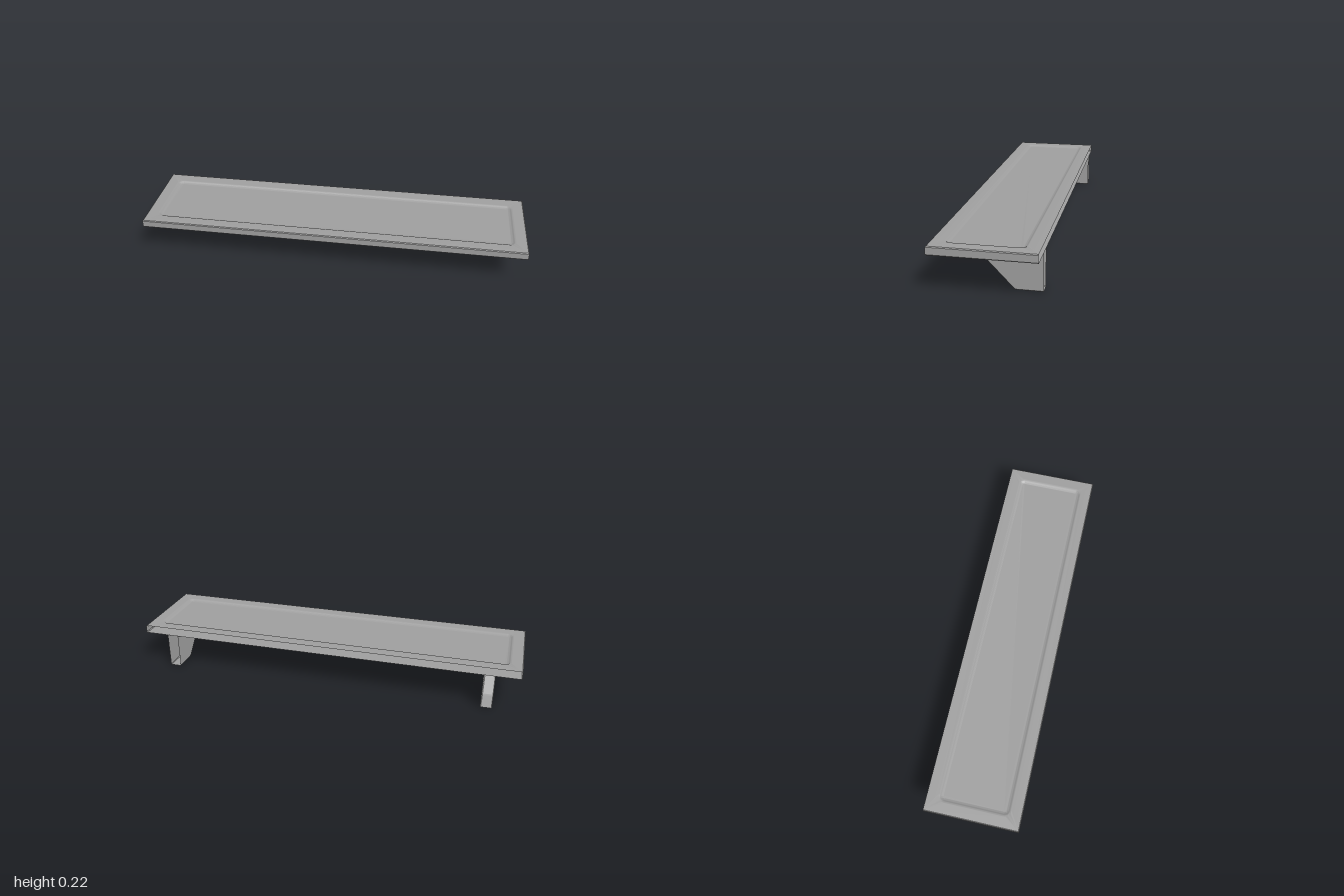
import * as THREE from 'three';
import { toCreasedNormals } from 'three/addons/utils/BufferGeometryUtils.js';

const BACK = -0.24, FRONT = 0.24, UNDER = 0.181, TOP = 0.222, BEVEL = 0.004;

const material = new THREE.MeshStandardMaterial({ color: 0x9e9e9e, side: THREE.DoubleSide });

// Geometry from corner triples, leaving out collapsed triangles, with sharp creases kept
function fromCorners(corners) {
  const triangle = new THREE.Triangle();
  const kept = [];
  for (let i = 0; i < corners.length; i += 3) {
    triangle.set(corners[i], corners[i + 1], corners[i + 2]);
    if (triangle.getArea() > 1e-10) kept.push(triangle.a, triangle.b, triangle.c);
    triangle.a = new THREE.Vector3();
    triangle.b = new THREE.Vector3();
    triangle.c = new THREE.Vector3();
  }
  const points = kept.map((p) => p.clone());
  return toCreasedNormals(new THREE.BufferGeometry().setFromPoints(points), 0.6);
}

// Horizontal rectangle with rounded corners, starting at the front
function ring(halfX, front, back, y, radius = 0) {
  const points = [];
  const steps = 6;
  for (let k = 0; k < 4; k++) {
    const x = (k === 1 || k === 2 ? 1 : -1) * (halfX - radius);
    const z = k < 2 ? front - radius : back + radius;
    for (let s = 0; s <= steps; s++) {
      const a = (k + s / steps) * Math.PI / 2;
      points.push(new THREE.Vector3(x - radius * Math.cos(a), y, z + radius * Math.sin(a)));
    }
  }
  return points;
}

// Board: rings from the underside, round the edge and down into the recess; open at the back
function boardGeometry() {
  const rings = [
    ring(1 - BEVEL, FRONT - BEVEL, BACK, UNDER),
    ring(1, FRONT, BACK, UNDER + BEVEL),
    ring(1, FRONT, BACK, TOP - BEVEL),
    ring(1 - BEVEL, FRONT - BEVEL, BACK, TOP),
  ];
  // Soft slope of the recess, with one flat ring before and after it
  const steps = 6, width = 0.02, depth = 0.0105;
  for (let i = -1; i <= steps + 1; i++) {
    const inset = width * i / steps;
    const y = TOP - depth * THREE.MathUtils.smoothstep(i / steps, 0, 1);
    rings.push(ring(0.94 - inset, 0.181 - inset, -0.181 + inset, y, 0.032 - inset));
  }

  const corners = [];
  for (let i = 0; i < rings.length - 1; i++) {
    const low = rings[i], high = rings[i + 1];
    low.forEach((a, k) => {
      const n = (k + 1) % low.length;
      const b = low[n], c = high[n], d = high[k];
      if ([a, b, c, d].some((p) => p.z !== BACK)) corners.push(a, b, c, a, c, d);
    });
  }
  // Underside and recess floor
  const bottom = rings[0], floor = rings[rings.length - 1];
  for (let k = 1; k < floor.length - 1; k++) {
    corners.push(bottom[0], bottom[k + 1], bottom[k], floor[0], floor[k], floor[k + 1]);
  }
  return fromCorners(corners);
}

// Bracket: rounded, bevelled side profile, cut off open against the wall and the board
function bracketGeometry(width) {
  const bevel = 0.003;
  const shape = new THREE.Shape();
  shape.moveTo(-0.26, 0);
  shape.lineTo(-0.122, 0);
  shape.quadraticCurveTo(-0.114, 0, -0.107, 0.007);
  shape.lineTo(0.026, 0.146);
  shape.quadraticCurveTo(0.033, 0.153, 0.033, 0.164);
  shape.lineTo(0.033, 0.2);
  shape.lineTo(-0.26, 0.2);
  shape.closePath();
  const extruded = new THREE.ExtrudeGeometry(shape, {
    depth: width - 2 * bevel, bevelThickness: bevel, bevelSize: bevel,
    bevelOffset: -bevel, bevelSegments: 1, curveSegments: 6,
  });
  extruded.translate(0, 0, bevel - width / 2).rotateY(-Math.PI / 2);

  // Clamp to the two cutting planes and drop the faces that fall flat on them
  const source = extruded.getAttribute('position');
  const corners = [];
  for (let i = 0; i < source.count; i += 3) {
    const face = [0, 1, 2].map((k) => {
      const p = new THREE.Vector3().fromBufferAttribute(source, i + k);
      return p.set(p.x, Math.min(p.y, UNDER), Math.max(p.z, BACK));
    });
    const onWall = face.every((p) => p.z === BACK);
    const onBoard = face.every((p) => p.y === UNDER);
    if (!onWall && !onBoard) corners.push(...face);
  }
  return fromCorners(corners);
}

export function createModel() {
  const shelf = new THREE.Group();
  shelf.name = 'wallShelf';

  const board = new THREE.Mesh(boardGeometry(), material);
  board.name = 'shelfBoard';
  shelf.add(board);

  const geometry = bracketGeometry(0.058);
  for (const [name, side] of [['leftBracket', 1], ['rightBracket', -1]]) {
    const bracket = new THREE.Mesh(geometry, material);
    bracket.name = name;
    bracket.position.x = side * 0.845;
    shelf.add(bracket);
  }
  return shelf;
}
